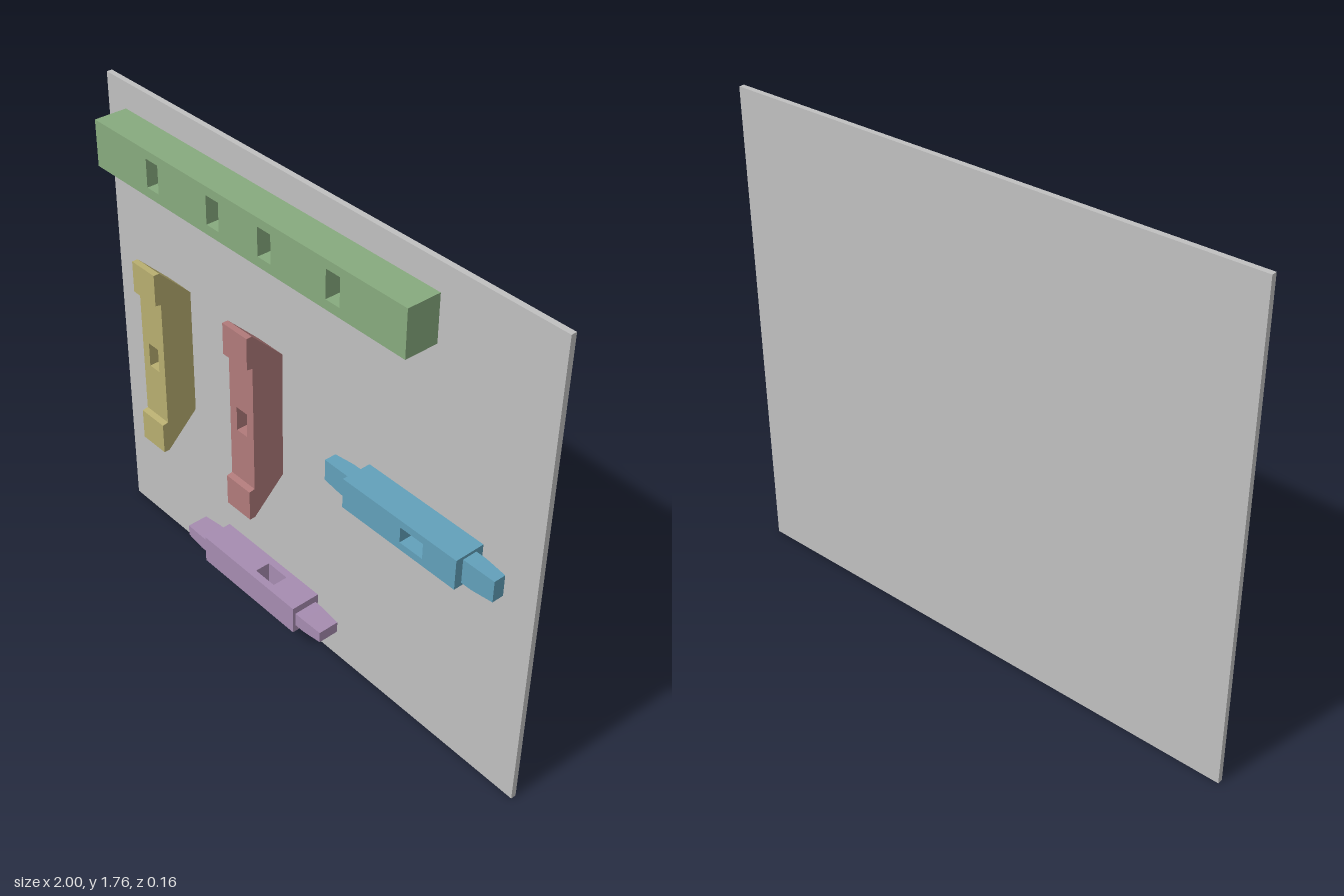
import * as THREE from 'three';

const material = (name, color) => {
  const m = new THREE.MeshStandardMaterial({ color });
  m.name = name;
  return m;
};

const BACK = -0.062; // front face of the board, where all pieces rest

function outline(points) {
  return new THREE.Shape(points.map(([x, y]) => new THREE.Vector2(x, y)));
}

function rectangle(x0, x1, y0, y1) {
  return [[x0, y0], [x1, y0], [x1, y1], [x0, y1]];
}

function addMesh(parent, name, geometry, mat) {
  const mesh = new THREE.Mesh(geometry, mat);
  mesh.name = name;
  parent.add(mesh);
  return mesh;
}

// Bar along x with rectangular mortises cut through from front to back
function mortisedBar(rect, holes, depth) {
  const shape = outline(rectangle(...rect));
  holes.forEach((h) => shape.holes.push(outline(rectangle(...h))));
  return new THREE.ExtrudeGeometry(shape, { depth, bevelEnabled: false });
}

// Tenon along +x: straight near the shoulder, slightly tapered to the tip
function tenonGeometry() {
  const length = 0.12;
  const box = new THREE.BoxGeometry(length, 0.09, 0.054, 2, 1, 1);
  const p = box.attributes.position;
  for (let i = 0; i < p.count; i++) {
    if (p.getX(i) > 0.01) {
      p.setY(i, p.getY(i) * 0.88);
      p.setZ(i, p.getZ(i) * 0.8);
    } else if (p.getX(i) > -0.01) {
      p.setX(i, -0.02);
    }
  }
  const g = box.toNonIndexed();
  g.computeVertexNormals();
  return g;
}

// Short rail: mortised body with a tenon on each end, centred on the origin
function tenonedRail(name, mat) {
  const rail = new THREE.Group();
  rail.name = name;
  const half = 0.243, depth = 0.11;
  const body = mortisedBar([-half, half, -0.056, 0.056], [[0.012, 0.108, -0.029, 0.029]], depth);
  body.translate(0, 0, -depth / 2);
  addMesh(rail, 'railBody', body, mat);
  const tenon = tenonGeometry();
  for (const side of [1, -1]) {
    const mesh = addMesh(rail, side > 0 ? 'leftTenon' : 'rightTenon', tenon, mat);
    mesh.position.x = side * (half + 0.06);
    mesh.rotation.z = side > 0 ? 0 : Math.PI;
  }
  return rail;
}

// Upright foot piece: side profile (z, y) built in slices around its mortise
function footPiece(name, x, mat) {
  const foot = new THREE.Group();
  foot.name = name;
  const tip = 0.082, face = 0.06, end = 0.364, pad = 0.243;
  const holeHalf = 0.046, holeWidth = 0.052, width = 0.119;
  const upper = (y) => [[face, y], [face, pad], [tip, pad + 0.004], [tip, end], [face, end], [BACK, pad], [BACK, y]];
  const lower = (y) => upper(y).map(([z, v]) => [z, -v]).reverse();
  const full = [...lower(0).filter((p) => p[1]), ...upper(0).filter((p) => p[1])];
  const slice = (points, w, centre, label) => {
    const g = new THREE.ExtrudeGeometry(outline(points), { depth: w, bevelEnabled: false });
    g.rotateY(-Math.PI / 2);
    g.translate(centre + w / 2, 0, 0);
    addMesh(foot, label, g, mat);
  };
  const cheek = (width - holeWidth) / 2;
  for (const side of [1, -1]) {
    slice(full, cheek, side * (holeWidth + cheek) / 2, side > 0 ? 'leftCheek' : 'rightCheek');
  }
  slice(upper(holeHalf), holeWidth, 0, 'upperCore');
  slice(lower(holeHalf), holeWidth, 0, 'lowerCore');
  foot.position.set(x, 0.872, 0);
  return foot;
}

export function createModel() {
  const model = new THREE.Group();
  model.name = 'joineryBoard';
  const grey = material('boardGrey', 0xc0c0c0);
  const green = material('beamGreen', 0x87aa7e);
  const yellow = material('footYellow', 0xb8ae70);
  const red = material('footRed', 0xb07a7a);
  const blue = material('railBlue', 0x62a0ba);
  const purple = material('railPurple', 0xa68cb0);

  // Backing board
  const board = addMesh(model, 'backingBoard', new THREE.BoxGeometry(2, 1.765, 0.02), grey);
  board.position.set(0, 0.8825, -0.072);

  // Long beam with four mortises
  const holes = [-0.602, -0.299, -0.055, 0.248].map((x) => [x - 0.03, x + 0.03, 1.537, 1.638]);
  const beam = addMesh(model, 'longBeam', mortisedBar([-0.904, 0.547, 1.503, 1.669], holes, 0.122), green);
  beam.position.z = BACK;

  // Two matching feet
  model.add(footPiece('yellowFoot', -0.656, yellow));
  model.add(footPiece('redFoot', -0.178, red));

  // Two matching rails, the lower one turned so its mortise runs vertically
  const blueRail = tenonedRail('blueRail', blue);
  blueRail.position.set(0.54, 0.869, -0.007);
  const purpleRail = tenonedRail('purpleRail', purple);
  purpleRail.rotation.x = -Math.PI / 2;
  purpleRail.position.set(-0.177, 0.155, -0.006);
  model.add(blueRail, purpleRail);

  return model;
}
